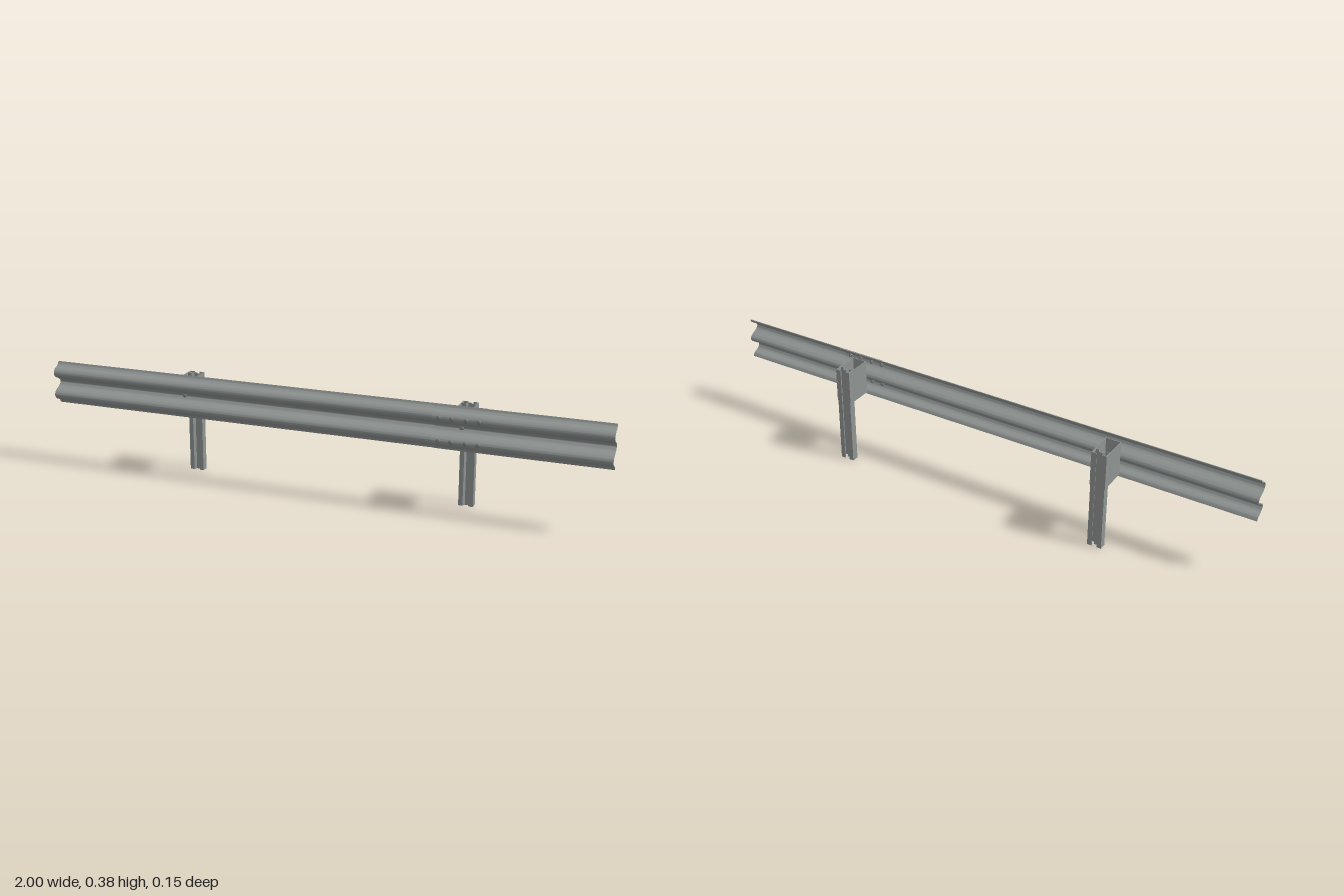
import * as THREE from 'three';
import { toCreasedNormals } from 'three/addons/utils/BufferGeometryUtils.js';

const V = (x, y) => new THREE.Vector2(x, y);

// Folded sheet metal: thickens an open centre line and extrudes it
function sheet(points, thickness, length) {
  const offset = (side) => points.map((p, i) => {
    const a = points[Math.max(i - 1, 0)], b = points[Math.min(i + 1, points.length - 1)];
    const d1 = (i > 0 ? p.clone().sub(a) : b.clone().sub(p)).normalize();
    const d2 = (i < points.length - 1 ? b.clone().sub(p) : d1.clone()).normalize();
    const n1 = V(-d1.y, d1.x), n2 = V(-d2.y, d2.x);
    const n = n1.clone().add(n2).normalize();
    return n.clone().multiplyScalar(side * thickness / 2 / Math.max(n.dot(n1), 0.4)).add(p);
  });
  const shape = new THREE.Shape([...offset(1), ...offset(-1).reverse()]);
  const g = new THREE.ExtrudeGeometry(shape, { depth: length, bevelEnabled: false });
  return toCreasedNormals(g, 0.6);
}

export function createModel() {
  const steel = new THREE.MeshStandardMaterial({ color: 0x8f9493 });
  steel.name = 'galvanised steel';
  const boltSteel = new THREE.MeshStandardMaterial({ color: 0x7c8180 });
  boltSteel.name = 'bolt steel';

  const model = new THREE.Group();
  model.name = 'guardrail';
  const add = (parent, name, geometry, material, x = 0, y = 0, z = 0) => {
    const m = new THREE.Mesh(geometry, material);
    m.name = name;
    m.position.set(x, y, z);
    parent.add(m);
    return m;
  };

  // Double-wave rail profile as (z, y offset), mirrored about its middle
  const half = [[0.035, 0.076], [0.042, 0.064], [0.062, 0.054], [0.0705, 0.04],
    [0.062, 0.026], [0.038, 0.013]];
  const wave = [...half, [0.0285, 0], ...half.map(([z, y]) => [z, -y]).reverse()];
  const profile = new THREE.SplineCurve(wave.map(([z, y]) => V(-z, y + 0.3))).getPoints(60);
  const rail = (name, x0, x1, z) =>
    add(model, name, sheet(profile, 0.0025, x1 - x0).rotateY(Math.PI / 2), steel, x0, 0, z);
  rail('mainRail', -1, 0.59, 0);
  rail('lappedRail', 0.41, 1, 0.0025);

  // Bolts: domed head, shank and hexagonal nut, pointing along +z
  const headGeo = new THREE.SphereGeometry(0.008, 16, 6, 0, Math.PI * 2, 0, Math.PI / 2)
    .scale(1, 0.5, 1).rotateX(Math.PI / 2);
  const shankGeo = new THREE.CylinderGeometry(0.004, 0.004, 0.014, 12).rotateX(Math.PI / 2);
  const nutGeo = toCreasedNormals(
    new THREE.CylinderGeometry(0.007, 0.007, 0.006, 6).rotateX(Math.PI / 2), 0.5);
  function bolt(parent, name, x, y, z) {
    const g = new THREE.Group();
    g.name = name;
    g.position.set(x, y, z);
    add(g, 'boltHead', headGeo, boltSteel);
    add(g, 'boltShank', shankGeo, boltSteel, 0, 0, -0.007);
    add(g, 'boltNut', nutGeo, boltSteel, 0, 0, -0.008);
    parent.add(g);
    return g;
  }
  for (const x of [0.433, 0.476, 0.524, 0.567])
    for (const y of [0.261, 0.339]) bolt(model, 'spliceBolt', x, y, 0.0735);

  // Post section (x, -z): back lips, sides and a grooved front
  const postHalf = [[0.009, 0.072], [0.0245, 0.072], [0.0245, 0.049], [0.011, 0.049], [0.006, 0.06]];
  const postPath = [...postHalf, ...postHalf.map(([x, z]) => [-x, z]).reverse()].map((p) => V(...p));
  const postGeo = sheet(postPath, 0.002, 0.36).rotateX(-Math.PI / 2);

  // Open spacer box (x, -z) wrapping the post
  const spacerPath = [V(0.0265, 0.0735), V(0.0265, -0.0255), V(-0.0265, -0.0255), V(-0.0265, 0.0735)];
  const spacerGeo = sheet(spacerPath, 0.002, 0.124).rotateX(-Math.PI / 2);

  for (const x of [-0.5, 0.5]) {
    const support = new THREE.Group();
    support.name = 'support';
    support.position.x = x;
    model.add(support);
    add(support, 'post', postGeo, steel);
    add(support, 'spacer', spacerGeo, steel, 0, 0.236, 0);
    bolt(support, 'railBolt', 0, 0.3, x > 0 ? 0.0325 : 0.03);
    // Fixings on the inner faces of the post
    for (const s of [-1, 1])
      for (const y of [0.26, 0.335])
        add(support, 'postNut', nutGeo, boltSteel, s * 0.0205, y, -0.06).rotation.y = Math.PI / 2;
  }
  return model;
}
